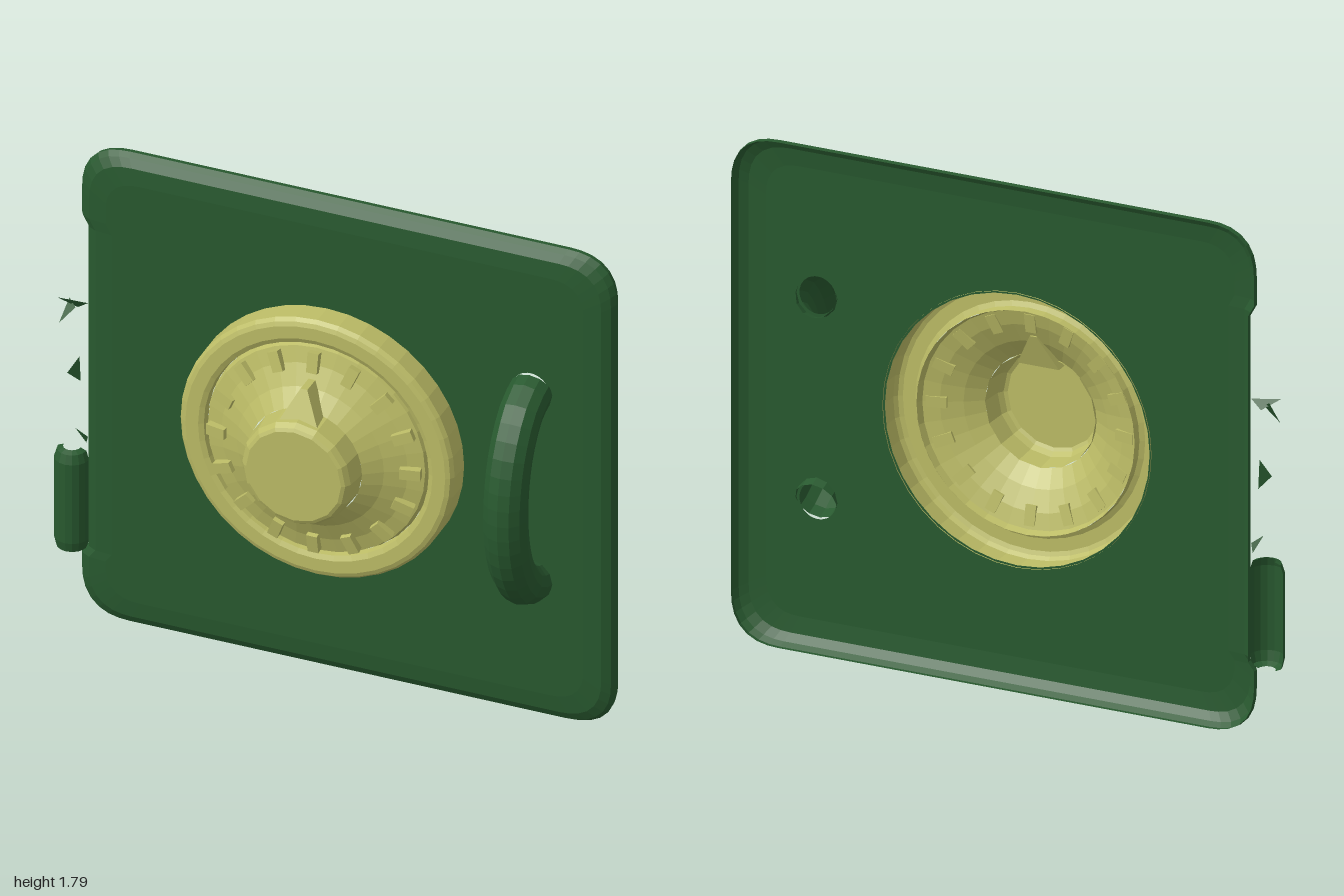
import * as THREE from 'three';

const makeMaterial = (name, color) => {
  const m = new THREE.MeshStandardMaterial({ color, flatShading: true, side: THREE.DoubleSide });
  m.name = name;
  return m;
};

// Rounded-rectangle outline of the door, counter-clockwise, shrunk by inset
function outline(inset) {
  const x0 = -0.905 + inset, x1 = 0.987 - inset, y0 = 0.018 + inset, y1 = 1.808 - inset;
  const r = 0.17 - inset * 0.5, pts = [];
  const corners = [[x1 - r, y0 + r, -90], [x1 - r, y1 - r, 0], [x0 + r, y1 - r, 90], [x0 + r, y0 + r, 180]];
  corners.forEach(([cx, cy, start], c) => {
    for (let i = 0; i <= 7; i++) {
      const a = THREE.MathUtils.degToRad(start + (i * 90) / 7);
      // slightly squarer than a circular corner
      const f = 1 + 0.06 * Math.sin(2 * a) ** 2;
      pts.push(new THREE.Vector2(cx + r * f * Math.cos(a), cy + r * f * Math.sin(a)));
    }
    // recess along the hinge side
    if (c === 2) [[0, 1.54], [0.022, 1.5], [0.022, 0.28], [0, 0.25]].forEach(([d, y]) => pts.push(new THREE.Vector2(x0 + d, y)));
  });
  return pts;
}

// Strip joining successive outlines [inset, z]
function rimGeometry(rings) {
  const pos = [], idx = [];
  let n = 0;
  rings.forEach(([inset, z]) => {
    const pts = outline(inset);
    n = pts.length;
    pts.forEach(p => pos.push(p.x, p.y, z));
  });
  for (let k = 0; k < rings.length - 1; k++)
    for (let i = 0; i < n; i++) {
      const a = k * n + i, b = k * n + (i + 1) % n, c = a + n, d = b + n;
      idx.push(a, c, b, b, c, d);
    }
  const g = new THREE.BufferGeometry();
  g.setAttribute('position', new THREE.Float32BufferAttribute(pos, 3));
  g.setIndex(idx);
  g.computeVertexNormals();
  return g;
}

export function createModel() {
  const green = makeMaterial('door green', 0x28592f);
  const brass = makeMaterial('dial yellow', 0xbcbc66);
  const root = new THREE.Group();
  root.name = 'safeDoor';
  const add = (parent, name, geo, mat) => {
    const m = new THREE.Mesh(geo, mat);
    m.name = name;
    parent.add(m);
    return m;
  };
  const lathe = (pts, seg, start, len) =>
    new THREE.LatheGeometry(pts.map(p => new THREE.Vector2(p[0], p[1])), seg, start, len);

  // Door: thin shell, open behind the dial and the handle ends
  const face = new THREE.Shape(outline(0.1));
  [[-0.02, 0.92, 0.478], [0.7, 1.265, 0.066], [0.7, 0.54, 0.066]].forEach(([x, y, r]) => {
    const hole = new THREE.Path();
    hole.absarc(x, y, r, 0, Math.PI * 2, true);
    face.holes.push(hole);
  });
  add(root, 'doorFace', new THREE.ShapeGeometry(face, 18).translate(0, 0, -0.108), green);
  add(root, 'doorRim', rimGeometry([[0.1, -0.108], [0.04, -0.114], [0.012, -0.13], [0, -0.15], [0.002, -0.167]]), green);

  // Dial: collar, sloping face and knob, turned about z
  const dial = new THREE.Group();
  dial.name = 'dial';
  dial.position.set(-0.02, 0.92, 0);
  root.add(dial);
  const turned = (name, pts, seg) => add(dial, name, lathe(pts, seg).rotateX(Math.PI / 2), brass);
  turned('dialCollar', [[0.485, -0.112], [0.485, -0.03], [0.475, -0.016], [0.46, -0.01], [0.415, -0.01],
    [0.398, -0.018], [0.394, -0.045]], 40);
  turned('dialFace', [[0.394, -0.045], [0.385, -0.02], [0.33, -0.004], [0.26, 0.03], [0.2, 0.072]], 32);
  turned('knob', [[0.2, 0.066], [0.192, 0.145], [0.18, 0.164], [0.168, 0.17], [0, 0.17]], 16);

  // Tick marks around the dial face
  for (let i = 0; i < 16; i++) {
    const pivot = new THREE.Group();
    pivot.name = 'tickMark';
    pivot.rotation.z = (i * Math.PI) / 8;
    dial.add(pivot);
    const tick = add(pivot, 'tick', new THREE.BoxGeometry(0.038, 0.07, 0.03), brass);
    tick.position.set(0, 0.342, 0.002);
    tick.rotation.x = -0.2;
  }

  // Pointer on the knob: wedge tapering outwards and downwards
  const wedge = new THREE.Shape([[-0.075, 0.165], [0.075, 0.165], [0.012, 0.285], [-0.012, 0.285]]
    .map(p => new THREE.Vector2(...p)));
  const pointerGeo = new THREE.ExtrudeGeometry(wedge, { depth: 0.12, bevelEnabled: false });
  const p = pointerGeo.attributes.position;
  for (let i = 0; i < p.count; i++) {
    const outer = p.getY(i) > 0.2;
    p.setZ(i, p.getZ(i) > 0.06 ? (outer ? 0.085 : 0.14) : (outer ? 0.01 : 0.05));
  }
  pointerGeo.computeVertexNormals();
  add(dial, 'pointer', pointerGeo, brass);

  // Bowed pull handle, hollow at its ends
  const bow = new THREE.CatmullRomCurve3([[1.265, -0.115], [1.235, -0.03], [1.11, 0.065], [0.91, 0.105],
    [0.71, 0.068], [0.575, -0.03], [0.54, -0.115]].map(([y, z]) => new THREE.Vector3(0.703, y, z)));
  add(root, 'handle', new THREE.TubeGeometry(bow, 18, 0.074, 12), green);

  // Hinge barrel, half round, on the edge opposite the handle
  const hinge = add(root, 'hinge', lathe([[0.03, 0.255], [0.052, 0.265], [0.06, 0.3], [0.06, 0.6], [0.05, 0.632], [0.03, 0.64]],
    8, -Math.PI / 2, Math.PI), green);
  hinge.position.set(-0.938, 0, -0.145);

  // Small torn scraps left along the hinge edge
  [
    [-0.98, 1.21, -0.12, -0.88, 1.2, -0.14, -0.92, 1.17, -0.15],
    [-0.97, 1.12, -0.11, -0.92, 1.18, -0.13, -0.95, 1.2, -0.15],
    [-0.945, 0.93, -0.12, -0.91, 0.99, -0.14, -0.91, 0.89, -0.15],
    [-0.92, 0.72, -0.13, -0.88, 0.69, -0.14, -0.89, 0.66, -0.15],
  ].forEach(v => {
    const g = new THREE.BufferGeometry();
    g.setAttribute('position', new THREE.Float32BufferAttribute(v, 3));
    g.computeVertexNormals();
    add(root, 'hingeScrap', g, green);
  });

  return root;
}
